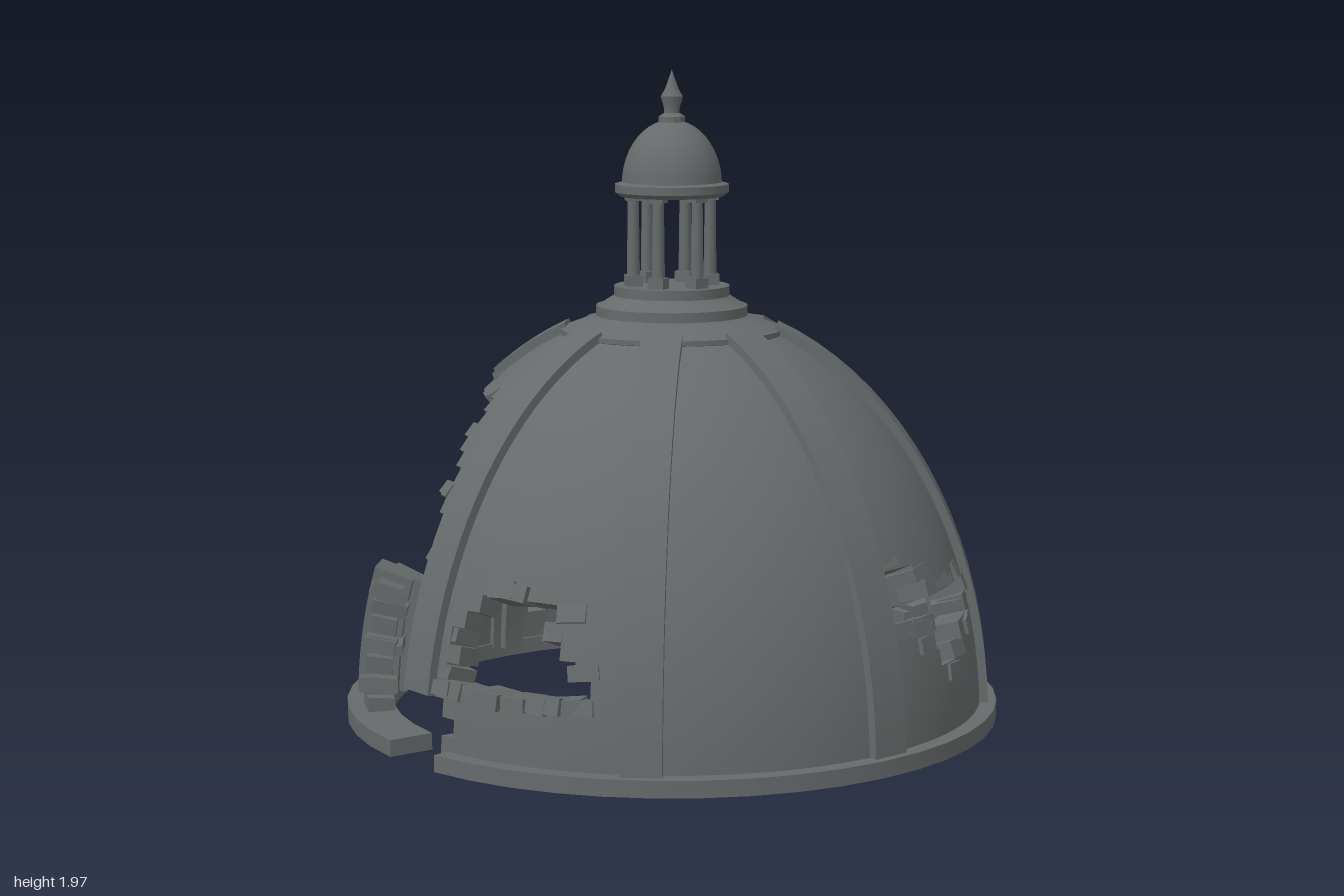
import * as THREE from 'three';
import { mergeGeometries, toCreasedNormals } from 'three/addons/utils/BufferGeometryUtils.js';

const stone = new THREE.MeshStandardMaterial({ color: 0x666a6a });
stone.name = 'grey stone';

const RAD = Math.PI / 180;
const R = 0.95, H = 1.25, WALL = 0.08;      // dome ellipse and wall thickness
const COLS = 120, ROWS = 28;
const angleAt = y => Math.asin(y / H);
const T0 = angleAt(0.04), T1 = angleAt(1.175);

// Broken openings as outlines of (degrees from the front, height)
const holes = [
  [[-4, 0.2], [-4, 0.62], [-8, 0.68], [-12, 0.85], [-20, 1.0], [-36, 1.0], [-48, 1.04], [-56, 1.13], [-72, 1.12],
    [-84, 1.0], [-96, 1.0], [-104, 1.07], [-110, 0.95], [-117, 0.72], [-110, 0.55], [-104, 0.2], [-98, 0.12],
    [-96, 0.4], [-84, 0.4], [-80, 0.25], [-66, 0.2], [-60, 0.36], [-45, 0.44], [-38, 0.4], [-33, 0.2],
    [-27, 0.1], [-24, 0], [8, 0], [8, 0.2]],
  [[7, 0.2], [7, 0.4], [13, 0.45], [14, 0.51], [27, 0.51], [28, 0.42], [31, 0.4], [31, 0.33], [35, 0.33], [35, 0.26], [16, 0.26], [9, 0.2]],
  [[95, 0.4], [95, 0.53], [103, 0.53], [106, 0.47], [129, 0.46], [129, 0.35], [115, 0.35], [115, 0.27], [106, 0.27], [106, 0.4]],
  [[166, 0.15], [166, 0.5], [174, 0.55], [176, 0.78], [168, 0.8], [160, 0.72], [150, 0.78], [143, 0.65], [139, 0.5], [139, 0.15]],
];

function inside(poly, x, y) {
  let hit = false;
  for (let i = 0, j = poly.length - 1; i < poly.length; j = i++) {
    const [xi, yi] = poly[i], [xj, yj] = poly[j];
    if ((yi > y) !== (yj > y) && x < (xj - xi) * (y - yi) / (yj - yi) + xi) hit = !hit;
  }
  return hit;
}

// Brick centre in degrees; alternate rows are staggered by half a brick
const brickAngle = (c, r) => {
  const a = (2 * Math.floor((c + r % 2) / 2) - r % 2 + 1) * 360 / COLS;
  return a > 180 ? a - 360 : a;
};
const rowAngle = r => T0 + (T1 - T0) * r / ROWS;
function solid(c, r) {
  if (r < 0 || r >= ROWS) return true;
  c = (c + COLS) % COLS;
  const y = H * Math.sin(rowAngle(r + 0.5));
  return !holes.some(h => inside(h, brickAngle(c, r), y));
}

let seed = 7;
const rnd = () => (seed = (seed * 16807) % 2147483647) / 2147483647;

function fromQuads(quads, crease = 0.4) {
  const pos = [];
  for (const [a, b, c, d] of quads) pos.push(...a, ...b, ...c, ...a, ...c, ...d);
  const g = new THREE.BufferGeometry();
  g.setAttribute('position', new THREE.Float32BufferAttribute(pos, 3));
  g.computeVertexNormals();
  return toCreasedNormals(g, crease);
}

// Dome wall made of staggered bricks, with closed edges at the openings
function shellGeometry() {
  const quads = [];
  const P = (c, r, d) => {
    const a = c * 2 * Math.PI / COLS, t = rowAngle(r), rr = (R - d) * Math.cos(t);
    return [rr * Math.sin(a), (H - d) * Math.sin(t), rr * Math.cos(a)];
  };
  for (let r = 0; r < ROWS; r++) for (let c = 0; c < COLS; c++) {
    if (!solid(c, r)) continue;
    const o = [P(c, r, 0), P(c + 1, r, 0), P(c + 1, r + 1, 0), P(c, r + 1, 0)];
    const i = [P(c, r, WALL), P(c + 1, r, WALL), P(c + 1, r + 1, WALL), P(c, r + 1, WALL)];
    quads.push(o, [i[3], i[2], i[1], i[0]]);
    if (!solid(c - 1, r)) quads.push([i[0], o[0], o[3], i[3]]);
    if (!solid(c + 1, r)) quads.push([o[1], i[1], i[2], o[2]]);
    if (!solid(c, r + 1)) quads.push([o[3], o[2], i[2], i[3]]);
    if (!solid(c, r - 1)) quads.push([i[0], i[1], o[1], o[0]]);
  }
  return fromQuads(quads);
}

// Loose, tilted bricks along the broken edges
function brickGeometry() {
  const list = [];
  for (let r = 1; r < ROWS - 1; r++) for (let c = 0; c < COLS; c++) {
    const edge = !solid(c - 1, r) || !solid(c + 1, r) || !solid(c, r + 1) || !solid(c, r - 1);
    if (!solid(c, r) || !edge || rnd() < 0.45) continue;
    const t = rowAngle(r + 0.5), a = (c + 0.5) * 2 * Math.PI / COLS;
    const d = 0.045 + 0.02 * (rnd() - 0.5), rr = (R - d) * Math.cos(t);
    const b = new THREE.BoxGeometry(0.06 + 0.04 * rnd(), 0.04 + 0.015 * rnd(), 0.09 + 0.03 * rnd());
    b.rotateZ((rnd() - 0.5) * 0.25);
    b.rotateX(-t + (rnd() - 0.5) * 0.2);
    b.rotateY(a + (rnd() - 0.5) * 0.25);
    b.translate(rr * Math.sin(a), (H - d) * Math.sin(t), rr * Math.cos(a));
    list.push(b);
  }
  return mergeGeometries(list);
}

// Curved bar following the dome from one height to another
function ribGeometry(y0, y1, half, out, inn) {
  const n = 18, loops = [], quads = [];
  for (let k = 0; k <= n; k++) {
    const t = angleAt(y0) + (angleAt(y1) - angleAt(y0)) * k / n;
    const p = (x, o) => [x, (H + o) * Math.sin(t), (R + o) * Math.cos(t)];
    loops.push([p(-half, out), p(half, out), p(half, inn), p(-half, inn)]);
  }
  for (let k = 0; k < n; k++) for (let i = 0; i < 4; i++) {
    const j = (i + 1) % 4;
    quads.push([loops[k][i], loops[k][j], loops[k + 1][j], loops[k + 1][i]]);
  }
  quads.push([...loops[0]].reverse(), loops[n]);
  return fromQuads(quads);
}

// Flat ring sector with closed ends, angles in degrees from the front
function ringGeometry(r0, r1, y0, y1, a0, a1) {
  const pts = [[r0, y0], [r1, y0], [r1, y1], [r0, y1], [r0, y0]].map(p => new THREE.Vector2(...p));
  const parts = [new THREE.LatheGeometry(pts, Math.ceil((a1 - a0) / 8), a0 * RAD, (a1 - a0) * RAD)];
  for (const [a, turn] of [[a0, -90], [a1, 90]]) {
    const cap = new THREE.PlaneGeometry(r1 - r0, y1 - y0);
    cap.rotateY((a + turn) * RAD);
    const m = (r0 + r1) / 2;
    cap.translate(m * Math.sin(a * RAD), (y0 + y1) / 2, m * Math.cos(a * RAD));
    parts.push(cap);
  }
  return toCreasedNormals(mergeGeometries(parts), 0.5);
}

const turned = (pts, n) =>
  toCreasedNormals(new THREE.LatheGeometry(pts.map(p => new THREE.Vector2(...p)), n), 0.5);

export function createModel() {
  const model = new THREE.Group();
  model.name = 'ruinedDome';
  const add = (name, geo, parent = model) => {
    const m = new THREE.Mesh(geo, stone);
    m.name = name;
    parent.add(m);
    return m;
  };

  add('baseRing', ringGeometry(0.86, 1, 0, 0.05, 7.5, 355.4));
  add('domeShell', shellGeometry());
  add('brokenBricks', brickGeometry());

  // Inner hoop, interrupted at the openings
  for (const [a0, a1] of [[9, 139], [166, 256], [-62, -33]])
    add('innerHoop', ringGeometry(0.83, 0.87, 0.185, 0.215, a0, a1));

  // Ribs: height spans for each direction, each with a narrow inner moulding
  const spans = { 0: [[0.2, 1.18]], 270: [[0.04, 0.4], [0.95, 1.18]], 315: [[0.04, 0.43], [1.04, 1.18]] };
  for (let a = 0; a < 360; a += 45) {
    for (const [y0, y1] of spans[a] || [[0.04, 1.18]]) {
      add('rib', ribGeometry(y0, y1, 0.06, 0.024, -0.1)).rotation.y = a * RAD;
      add('ribMoulding', ribGeometry(y0, y1, 0.03, -0.09, -0.125)).rotation.y = a * RAD;
    }
  }

  // Stepped crown under the lantern
  add('crown', turned([[0, 1.14], [0.31, 1.14], [0.338, 1.17], [0.338, 1.185], [0.23, 1.225], [0.23, 1.255],
    [0.215, 1.26], [0.175, 1.285], [0.175, 1.315], [0, 1.315]], 40));

  // Lantern: six columns, cornice, small dome and finial
  const lantern = new THREE.Group();
  lantern.name = 'lantern';
  model.add(lantern);
  for (let k = 0; k < 6; k++) {
    const column = new THREE.Group();
    column.name = 'column';
    column.rotation.y = (30 + 60 * k) * RAD;
    lantern.add(column);
    add('columnBase', new THREE.BoxGeometry(0.05, 0.035, 0.05), column).position.set(0, 1.33, 0.118);
    add('columnShaft', new THREE.CylinderGeometry(0.017, 0.02, 0.24, 10), column).position.set(0, 1.465, 0.118);
    add('columnCapital', new THREE.BoxGeometry(0.045, 0.015, 0.045), column).position.set(0, 1.58, 0.118);
  }
  add('cornice', turned([[0, 1.585], [0.155, 1.585], [0.173, 1.598], [0.173, 1.622], [0.152, 1.628], [0, 1.628]], 24), lantern);
  const cap = [];
  for (let k = 0; k <= 10; k++) {
    const t = k / 10 * 1.36;
    cap.push([0.152 * Math.cos(t), 1.62 + 0.195 * Math.sin(t)]);
  }
  add('lanternDome', turned([...cap, [0, 1.815]], 32), lantern);
  add('finial', turned([[0.04, 1.8], [0.04, 1.825], [0.024, 1.835], [0.024, 1.85], [0.034, 1.885], [0.022, 1.905],
    [0.018, 1.915], [0, 1.965]], 12), lantern);
  return model;
}
